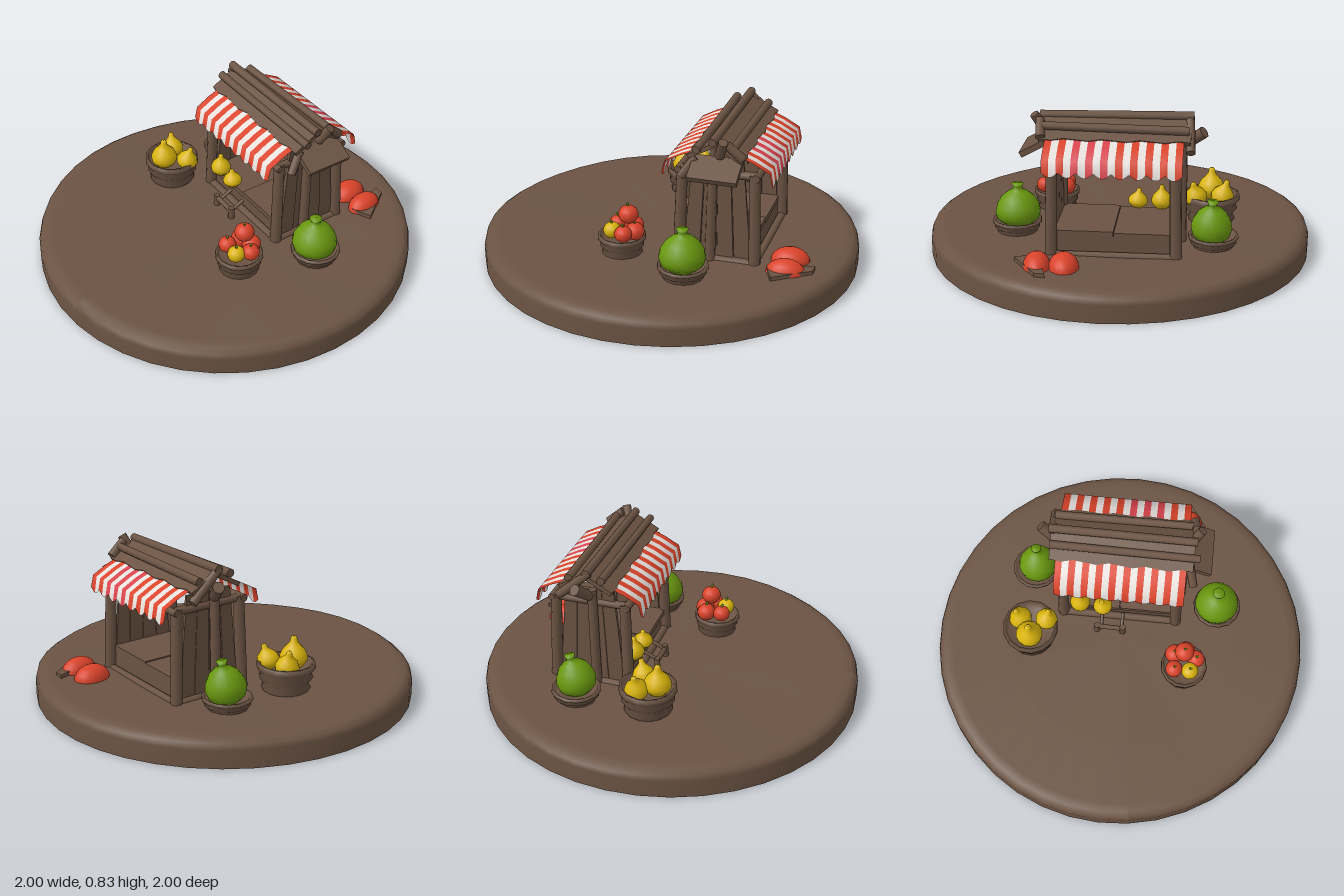
import * as THREE from 'three';
import { mergeGeometries } from 'three/addons/utils/BufferGeometryUtils.js';

const material = (name, color) => {
  const m = new THREE.MeshStandardMaterial({ color, side: THREE.DoubleSide });
  m.name = name;
  return m;
};

export function createModel() {
  const brown = material('brownWood', 0x6b5343);
  const red = material('red', 0xd9432a);
  const pink = material('pinkRed', 0xd9434d);
  const white = material('white', 0xe6e0dc);
  const green = material('green', 0x6a980f);
  const yellow = material('yellow', 0xd9b40c);

  const root = new THREE.Group();
  root.name = 'marketStall';
  const V = (x, y, z) => new THREE.Vector3(x, y, z);

  const add = (parent, name, geometry, mat, x = 0, y = 0, z = 0) => {
    const mesh = new THREE.Mesh(geometry, mat);
    mesh.name = name;
    mesh.position.set(x, y, z);
    parent.add(mesh);
    return mesh;
  };
  const lathe = (points, r, h, sides) =>
    new THREE.LatheGeometry(points.map(([x, y]) => new THREE.Vector2(x * r, y * h)), sides);

  // round log between two points
  const log = (parent, name, a, b, r, mat = brown) => {
    const mesh = add(parent, name, new THREE.CylinderGeometry(r * 0.92, r, a.distanceTo(b), 9, 1), mat);
    mesh.position.copy(a).add(b).multiplyScalar(0.5);
    mesh.quaternion.setFromUnitVectors(V(0, 1, 0), b.clone().sub(a).normalize());
    return mesh;
  };

  // hollow ground disc with a slightly uneven rim
  const ground = lathe([[1, 0], [1, 0.65], [0.992, 0.84], [0.965, 0.97], [0.92, 1], [0.6, 0.97], [0, 0.94]], 1, 0.143, 40);
  const gp = ground.attributes.position;
  for (let i = 0; i < gp.count; i++) {
    const a = Math.atan2(gp.getZ(i), gp.getX(i));
    if (gp.getY(i) > 0.1) gp.setY(i, gp.getY(i) + 0.004 * Math.sin(a * 5) * Math.hypot(gp.getX(i), gp.getZ(i)));
  }
  ground.computeVertexNormals();
  add(root, 'ground', ground, brown);

  // stall, turned a little
  const stall = new THREE.Group();
  stall.name = 'stall';
  stall.position.set(0.03, 0, -0.33);
  stall.rotation.y = -0.14;
  root.add(stall);

  for (const x of [-1, 1]) {
    for (const z of [-1, 1])
      log(stall, 'cornerPost', V(x * 0.31, 0.115, z * 0.2), V(x * 0.3, 0.62, z * 0.185), 0.031);
    log(stall, 'middlePost', V(x * 0.325, 0.115, 0.03), V(x * 0.325, 0.69, 0.02), 0.027);
    log(stall, 'sideSill', V(x * 0.31, 0.135, -0.21), V(x * 0.31, 0.135, 0.21), 0.024);
    log(stall, 'sideRail', V(x * 0.3, 0.61, -0.2), V(x * 0.3, 0.61, 0.2), 0.022);
    log(stall, 'longSill', V(-0.32, 0.135, x * 0.2), V(0.32, 0.135, x * 0.2), 0.022);
    // side wall of tapering boards
    for (let i = 0; i < 4; i++) {
      const lo = -0.18 + i * 0.09, k = 0.72;
      const s = new THREE.Shape([[lo, 0.13], [lo + 0.087, 0.13], [(lo + 0.087) * k, 0.68], [lo * k, 0.68]]
        .map(([a, b]) => new THREE.Vector2(-a, b)));
      const g = new THREE.ExtrudeGeometry(s, { depth: 0.014 + (i % 2) * 0.006, bevelEnabled: false });
      g.rotateY(Math.PI / 2);
      add(stall, 'sideBoard', g, brown, x * 0.3 - 0.008);
    }
  }

  // counter
  for (const x of [-1, 1]) {
    add(stall, 'counterBoard', new THREE.BoxGeometry(0.298, 0.028, 0.38), brown, x * 0.15, 0.238 + x * 0.003, 0.01);
    add(stall, 'counterPanel', new THREE.BoxGeometry(0.6, 0.1, 0.016), brown, 0, 0.18, x * 0.17);
  }
  // little bench in front
  log(stall, 'benchSeat', V(-0.12, 0.185, 0.29), V(0.03, 0.178, 0.29), 0.014);
  for (const x of [-0.115, 0.025]) {
    log(stall, 'benchLeg', V(x, 0.12, 0.29), V(x, 0.2, 0.29), 0.018);
    log(stall, 'benchBrace', V(x * 0.8, 0.215, 0.21), V(x * 0.8, 0.18, 0.28), 0.01);
  }

  // roof slopes with a wavy lower edge
  for (const side of [1, -1]) {
    const g = new THREE.BoxGeometry(0.74, 0.022, 0.16, 12, 1, 1);
    const p = g.attributes.position;
    for (let i = 0; i < p.count; i++)
      if (p.getZ(i) > 0) p.setZ(i, p.getZ(i) + 0.008 * Math.sin(p.getX(i) * 34));
    g.computeVertexNormals();
    g.rotateX(0.5);
    g.translate(0, 0.742, 0.068);
    if (side < 0) g.rotateY(Math.PI);
    add(stall, 'roofSlope', g, brown);
  }
  log(stall, 'ridgeLog', V(-0.38, 0.803, 0.01), V(0.38, 0.793, 0.01), 0.023);
  log(stall, 'roofLog', V(-0.37, 0.77, 0.085), V(0.4, 0.755, 0.085), 0.022);
  log(stall, 'roofLog', V(-0.36, 0.755, -0.09), V(0.37, 0.765, -0.09), 0.022);
  // gable ends
  log(stall, 'gableLog', V(-0.43, 0.735, -0.03), V(-0.34, 0.66, 0.01), 0.03);
  log(stall, 'gableLog', V(-0.37, 0.66, -0.14), V(-0.36, 0.8, 0.02), 0.024);
  log(stall, 'gableLog', V(0.35, 0.72, -0.02), V(0.4, 0.81, -0.05), 0.026);
  log(stall, 'gableLog', V(0.35, 0.7, 0.1), V(0.38, 0.6, 0.17), 0.024);
  log(stall, 'gableLog', V(0.36, 0.72, -0.14), V(0.37, 0.79, -0.06), 0.024);
  const flap = add(stall, 'sideFlap', new THREE.BoxGeometry(0.15, 0.03, 0.25), brown, 0.395, 0.66, -0.01);
  flap.rotation.z = -0.5;

  // striped awnings with a scalloped valance
  const profile = [[0.09, 0.73], [0.19, 0.69], [0.268, 0.648], [0.282, 0.59]];
  const stripe = (i) => {
    const g = new THREE.PlaneGeometry(0.0355, 3, 4, 3);
    g.translate(-0.333 + 0.0355 * (i + 0.5) - 0.004, 0, 0);
    const p = g.attributes.position;
    for (let k = 0; k < p.count; k++) {
      const row = Math.round(1.5 - p.getY(k)), [z, y] = profile[row];
      p.setY(k, y - (row === 3 ? 0.026 * Math.abs(Math.sin(p.getX(k) * Math.PI / 0.085)) : 0));
      p.setZ(k, z);
    }
    g.computeVertexNormals();
    return g;
  };
  for (const back of [false, true]) {
    const awning = new THREE.Group();
    awning.name = back ? 'backAwning' : 'frontAwning';
    awning.rotation.y = back ? Math.PI : 0;
    stall.add(awning);
    const sets = new Map([[red, []], [white, []], [pink, []]]);
    for (let i = 0; i < 19; i++)
      sets.get(i % 2 ? white : back && i >= 4 && i <= 8 ? pink : red).push(stripe(i));
    for (const [mat, list] of sets)
      if (list.length) add(awning, mat.name + 'Stripes', mergeGeometries(list), mat);
    // rail beneath the awning
    log(awning, 'awningRail', V(-0.33, 0.61, 0.2), V(0.33, 0.61, 0.2), 0.02);
  }

  // woven baskets
  const basketProfile = [[0, 0], [0.68, 0], [0.84, 0.2], [0.76, 0.36], [0.92, 0.54], [0.86, 0.68],
    [1, 0.84], [0.98, 1], [0.88, 1], [0.8, 0.7], [0, 0.62]];
  for (const [x, z, r, top] of [[-0.485, -0.04, 0.15, 0.28], [-0.45, -0.42, 0.128, 0.2],
    [0.54, -0.15, 0.13, 0.2], [0.335, 0.2, 0.125, 0.235]])
    add(root, 'basket', lathe(basketProfile, r, top - 0.115, 14), brown, x, 0.115, z);

  // green melons
  const melon = [[0, 0], [0.6, 0.02], [0.92, 0.16], [1, 0.32], [0.93, 0.48], [0.72, 0.66], [0.42, 0.79],
    [0.22, 0.84], [0.2, 0.92], [0.27, 0.98], [0, 1]];
  for (const [x, z, r, tilt] of [[0.535, -0.145, 0.118, 0], [-0.44, -0.405, 0.104, -0.2]])
    add(root, 'melon', lathe(melon, r, 0.225, 18), green, x, 0.168, z).rotation.x = tilt;

  // yellow gourds in the basket and on the counter
  const gourd = [[0, 0], [0.6, 0.02], [0.95, 0.2], [1, 0.36], [0.82, 0.55], [0.5, 0.7], [0.28, 0.82],
    [0.24, 0.93], [0.14, 1], [0, 1]];
  for (const [x, y, z, r, h, rx, rz] of [
    [-0.49, 0.24, 0.01, 0.072, 0.165, 0, 0], [-0.525, 0.235, -0.085, 0.062, 0.14, -0.1, 0.25],
    [-0.405, 0.235, -0.07, 0.06, 0.13, -0.2, -0.2],
    [-0.21, 0.25, -0.165, 0.055, 0.125, 0, 0], [-0.085, 0.25, -0.14, 0.052, 0.1, 0, 0.1]])
    add(root, 'gourd', lathe(gourd, r, h, 14), yellow, x, y, z).rotation.set(rx, 0, rz);

  // tomatoes with small stems
  for (const [x, y, z, r, mat] of [[0.335, 0.348, 0.165, 0.052, red], [0.278, 0.268, 0.23, 0.046, red],
    [0.4, 0.265, 0.18, 0.046, red], [0.285, 0.265, 0.145, 0.05, red], [0.35, 0.262, 0.13, 0.05, red],
    [0.362, 0.265, 0.245, 0.046, yellow]]) {
    add(root, 'tomato', new THREE.SphereGeometry(r, 14, 10), mat, x, y, z).scale.y = 0.92;
    log(root, 'tomatoStem', V(x, y + r * 0.85, z), V(x + 0.006, y + r * 1.25, z + 0.006), 0.006, green);
  }

  // red pumpkins half sunk in the ground behind the stall
  for (const [x, z, sx] of [[0.3, -0.66, 0.075], [0.43, -0.645, 0.068]])
    add(root, 'pumpkin', new THREE.SphereGeometry(1, 18, 12), red, x, 0.14, z).scale.set(sx, 0.072, 0.1);
  const wedge = new THREE.ExtrudeGeometry(
    new THREE.Shape([[0.39, 0.79], [0.43, 0.55], [0.54, 0.58], [0.44, 0.78]].map(([a, b]) => new THREE.Vector2(a, b))),
    { depth: 0.04, bevelEnabled: false });
  wedge.rotateX(-Math.PI / 2);
  add(root, 'pumpkinWedge', wedge, brown, 0, 0.125, 0);

  return root;
}
